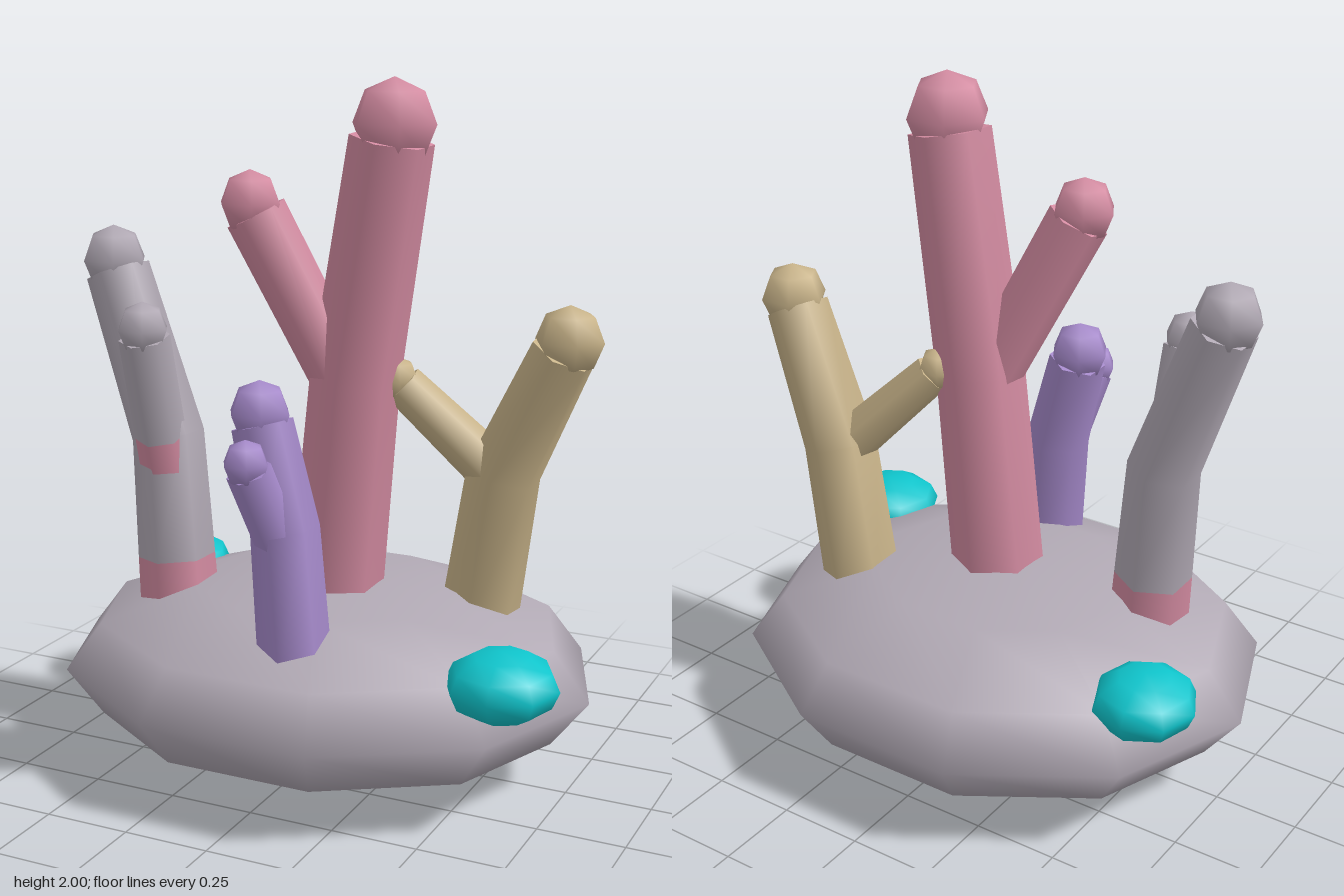
import * as THREE from 'three';

const mat = (name, color) => Object.assign(new THREE.MeshStandardMaterial({ color }), { name });

export function createModel() {
  const model = new THREE.Group();
  model.name = 'coralRock';

  const stone = mat('stone grey', 0xb1a9b4);
  const pink = mat('coral pink', 0xd48ca2);
  const tan = mat('coral tan', 0xc9b48a);
  const purple = mat('coral purple', 0xa68acb);
  const teal = mat('teal', 0x0fc5cc);

  const add = (parent, name, geometry, material) => {
    const mesh = new THREE.Mesh(geometry, material);
    mesh.name = name;
    parent.add(mesh);
    return mesh;
  };

  // Flattened low-poly ball
  const ball = (parent, name, material, pos, radii, w, h) => {
    const mesh = add(parent, name, new THREE.SphereGeometry(1, w, h), material);
    mesh.position.set(...pos);
    mesh.scale.set(...radii);
    return mesh;
  };

  // Six-sided stalk through points [x, y, z, radius]
  const stalk = (parent, name, material, path) => {
    const n = path.length - 1;
    const pts = path.map((p) => new THREE.Vector3(p[0], p[1], p[2]));
    const up = new THREE.Vector3(0, 1, 0);
    const turns = pts.map((p, i) => {
      const dir = new THREE.Vector3();
      if (i > 0) dir.add(p.clone().sub(pts[i - 1]).normalize());
      if (i < n) dir.add(pts[i + 1].clone().sub(p).normalize());
      return new THREE.Quaternion().setFromUnitVectors(up, dir.normalize());
    });
    const geo = new THREE.CylinderGeometry(1, 1, 1, 6, n);
    const { position, normal } = geo.attributes;
    const v = new THREE.Vector3();
    for (let i = 0; i < position.count; i++) {
      const k = Math.round((position.getY(i) + 0.5) * n);
      v.fromBufferAttribute(position, i).setY(0).multiplyScalar(path[k][3]);
      v.applyQuaternion(turns[k]).add(pts[k]);
      position.setXYZ(i, v.x, v.y, v.z);
      v.fromBufferAttribute(normal, i).applyQuaternion(turns[k]);
      normal.setXYZ(i, v.x, v.y, v.z);
    }
    return add(parent, name, geo, material);
  };

  // Stalk ending in a ball; an optional band colours its lowest stretch
  const limb = (parent, name, material, path, tip, band) => {
    const end = path[path.length - 1];
    const a = new THREE.Vector3(...end.slice(0, 3));
    const c = new THREE.Vector3(...tip.slice(0, 3));
    const r = tip[3];
    const stop = c.clone().add(a.sub(c).setLength(r * 0.35));
    const full = [...path, [stop.x, stop.y, stop.z, r * 0.95]];
    if (band) {
      const cut = full[0].map((s, i) => s + (full[1][i] - s) * band);
      stalk(parent, name + 'Band', pink, [full[0], cut]);
      full[0] = cut;
    }
    stalk(parent, name, material, full);
    ball(parent, name + 'Tip', material, tip.slice(0, 3), [r, r, r], 6, 4);
  };

  // Base rock
  ball(model, 'rock', stone, [0, 0.283, 0], [0.81, 0.28, 0.7], 10, 6);

  // Corals: bent trunk with one side branch each
  const corals = [
    {
      name: 'pinkCoral', material: pink,
      trunk: [[0.03, 0.4, 0.03, 0.14], [0.095, 1.15, 0.02, 0.13]], tip: [0.225, 1.875, 0.055, 0.125],
      branch: [[0.08, 1.1, 0.02, 0.085]], branchTip: [-0.175, 1.65, 0.135, 0.093],
    },
    {
      name: 'greyCoral', material: stone, trunkBand: 0.34, branchBand: 0.27,
      trunk: [[-0.425, 0.4, 0.135, 0.118], [-0.465, 0.95, 0.12, 0.106]], tip: [-0.657, 1.457, 0.085, 0.1],
      branch: [[-0.455, 0.85, 0.15, 0.075]], branchTip: [-0.455, 1.293, 0.265, 0.078],
    },
    {
      name: 'purpleCoral', material: purple,
      trunk: [[0.09, 0.4, 0.395, 0.103], [0.055, 0.8, 0.385, 0.096]], tip: [-0.028, 1.115, 0.368, 0.09],
      branch: [[0.055, 0.72, 0.39, 0.062]], branchTip: [0.006, 1.01, 0.515, 0.066],
    },
    {
      name: 'tanCoral', material: tan,
      trunk: [[0.415, 0.4, -0.155, 0.118], [0.485, 0.88, -0.155, 0.11]], tip: [0.688, 1.29, -0.097, 0.1],
      branch: [[0.47, 0.87, -0.15, 0.075]], branchTip: [0.2, 1.15, -0.04, 0.064],
    },
  ];
  for (const c of corals) {
    const group = new THREE.Group();
    group.name = c.name;
    model.add(group);
    limb(group, 'trunk', c.material, c.trunk, c.tip, c.trunkBand);
    limb(group, 'branch', c.material, c.branch, c.branchTip, c.branchBand);
  }

  // Teal pebbles half sunk in the rim
  ball(model, 'pebbleLeft', teal, [0.66, 0.425, 0.305], [0.158, 0.096, 0.163], 8, 6).rotation.y = 0.1;
  ball(model, 'pebbleRight', teal, [-0.632, 0.43, -0.247], [0.15, 0.092, 0.158], 8, 6).rotation.y = 0.1;

  return model;
}
